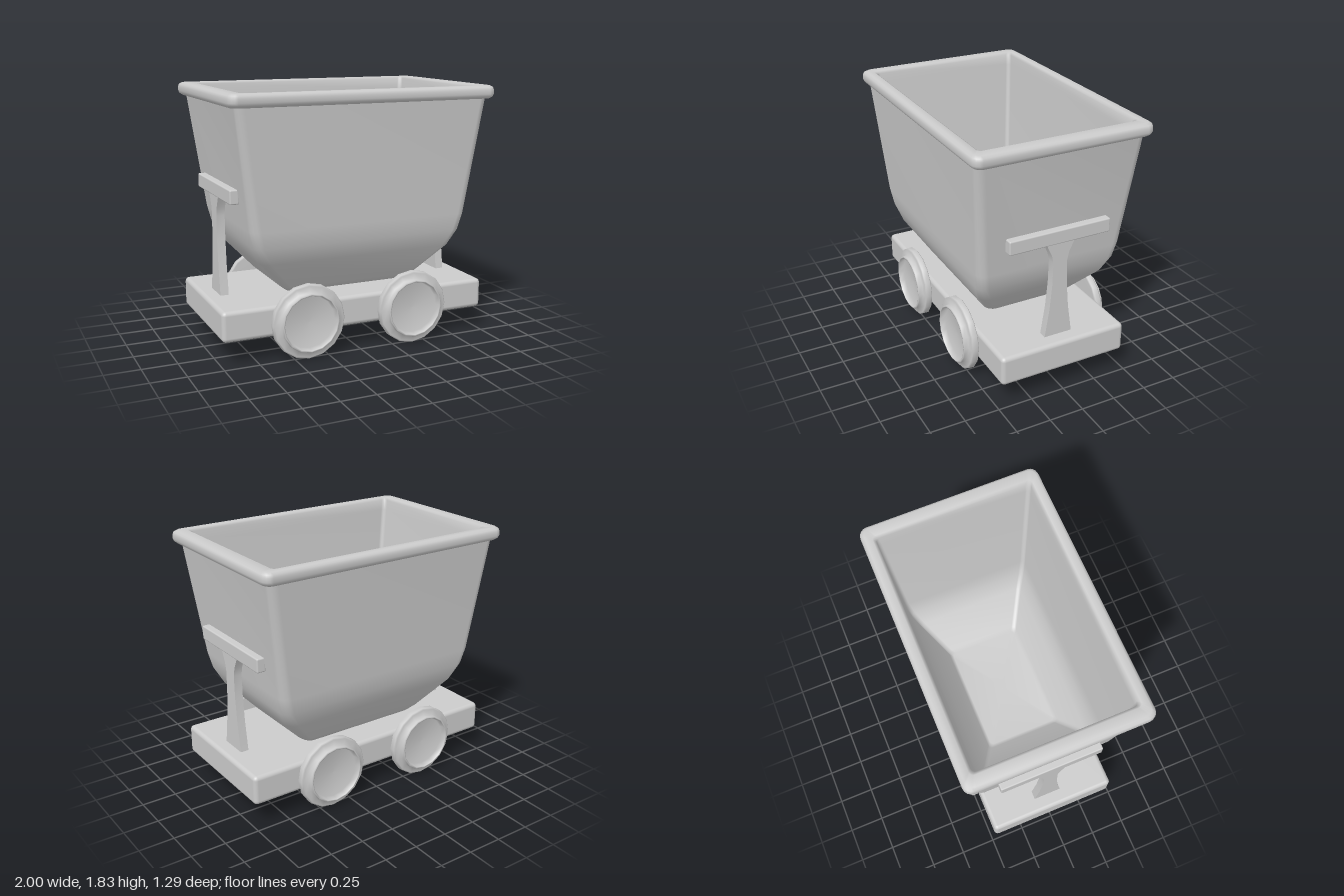
import * as THREE from 'three';
import { toCreasedNormals } from 'three/addons/utils/BufferGeometryUtils.js';
import { RoundedBoxGeometry } from 'three/addons/geometries/RoundedBoxGeometry.js';

const grey = new THREE.MeshStandardMaterial({ color: 0xcccccc });

function part(parent, name, geometry, x = 0, y = 0, z = 0) {
  const mesh = new THREE.Mesh(geometry, grey);
  mesh.name = name;
  mesh.position.set(x, y, z);
  parent.add(mesh);
  return mesh;
}

// Rounded rectangle in the xz plane, ordered from +x towards +z
function ring(hx, hz, r, steps = 4) {
  const pts = [];
  [[1, 1], [-1, 1], [-1, -1], [1, -1]].forEach(([sx, sz], q) => {
    for (let k = 0; k <= steps; k++) {
      const a = (q + k / steps) * Math.PI / 2;
      pts.push([sx * (hx - r) + r * Math.cos(a), sz * (hz - r) + r * Math.sin(a)]);
    }
  });
  return pts;
}

// Closed smooth skin through sections [y, halfX, halfZ, cornerRadius]
function loft(sections) {
  const pos = [], idx = [];
  sections.forEach(([y, hx, hz, r]) => ring(hx, hz, r).forEach(([x, z]) => pos.push(x, y, z)));
  const n = pos.length / 3 / sections.length;
  const last = (sections.length - 1) * n, c0 = sections.length * n, c1 = c0 + 1;
  pos.push(0, sections[0][0], 0, 0, sections[sections.length - 1][0], 0);
  for (let j = 0; j < n; j++) {
    const k = (j + 1) % n;
    for (let i = 0; i < last; i += n) {
      idx.push(i + j, i + n + j, i + n + k, i + j, i + n + k, i + k);
    }
    idx.push(c0, j, k, c1, last + k, last + j);
  }
  const g = new THREE.BufferGeometry();
  g.setAttribute('position', new THREE.Float32BufferAttribute(pos, 3));
  g.setIndex(idx);
  g.computeVertexNormals();
  return g;
}

function tubGeometry() {
  return loft([
    // outer wall
    [0.41, 0.41, 0.26, 0.05], [0.425, 0.47, 0.305, 0.06], [0.465, 0.52, 0.34, 0.06],
    [0.68, 0.72, 0.483, 0.07], [0.8, 0.782, 0.525, 0.07], [0.92, 0.81, 0.545, 0.07],
    [1.74, 0.92, 0.61, 0.06],
    // rolled rim
    [1.74, 0.945, 0.62, 0.05], [1.754, 0.963, 0.638, 0.055], [1.772, 0.97, 0.645, 0.06],
    [1.8, 0.97, 0.645, 0.06], [1.818, 0.963, 0.638, 0.055], [1.83, 0.945, 0.62, 0.05],
    [1.83, 0.875, 0.575, 0.03], [1.815, 0.855, 0.555, 0.03],
    // inner wall and floor
    [1.74, 0.85, 0.553, 0.03], [0.92, 0.745, 0.485, 0.03], [0.8, 0.71, 0.46, 0.03],
    [0.69, 0.64, 0.41, 0.03], [0.5, 0.43, 0.285, 0.03], [0.48, 0.4, 0.26, 0.03]
  ]);
}

// Flanged wheel with a recessed hub, turned about y
function wheelGeometry() {
  const profile = [
    [0, 0], [0.254, 0], [0.264, 0.008], [0.264, 0.045], [0.254, 0.054],
    [0.212, 0.056], [0.21, 0.087], [0.204, 0.092], [0.196, 0.092], [0.185, 0.05], [0, 0.045]
  ].map(([r, y]) => new THREE.Vector2(r, y));
  return new THREE.LatheGeometry(profile, 16);
}

// Flared stem of an end handle, extruded sideways
function stemGeometry(depth) {
  const half = [[0.105, 0.38], [0.072, 0.6], [0.056, 0.78], [0.052, 0.95], [0.065, 1.01], [0.105, 1.095]];
  const outline = [...half, ...half.map(([w, y]) => [-w, y]).reverse()];
  const shape = new THREE.Shape(outline.map(([w, y]) => new THREE.Vector2(w, y)));
  const g = new THREE.ExtrudeGeometry(shape, { depth, bevelEnabled: false });
  g.translate(0, 0, -depth / 2);
  g.rotateY(Math.PI / 2);
  return toCreasedNormals(g, 0.6);
}

export function createModel() {
  const cart = new THREE.Group();
  cart.name = 'mineCart';

  part(cart, 'chassis', new RoundedBoxGeometry(2, 0.215, 0.95, 3, 0.03), 0, 0.283, 0);
  part(cart, 'tub', tubGeometry());

  // Four wheels, recessed side outward
  const wheel = wheelGeometry();
  for (const sz of [1, -1]) {
    for (const x of [-0.4, 0.4]) {
      part(cart, 'wheel', wheel, x, 0.264, sz * 0.475).rotation.x = sz * Math.PI / 2;
    }
  }

  // A T-shaped handle at each end
  const stem = stemGeometry(0.06);
  const bar = new RoundedBoxGeometry(0.065, 0.1, 0.755, 2, 0.01);
  for (const sx of [1, -1]) {
    const handle = new THREE.Group();
    handle.name = sx > 0 ? 'leftHandle' : 'rightHandle';
    part(handle, 'handleStem', stem);
    part(handle, 'handleBar', bar, 0, 1.135, 0);
    handle.position.set(sx * 0.865, 0, -0.006);
    cart.add(handle);
  }
  return cart;
}
